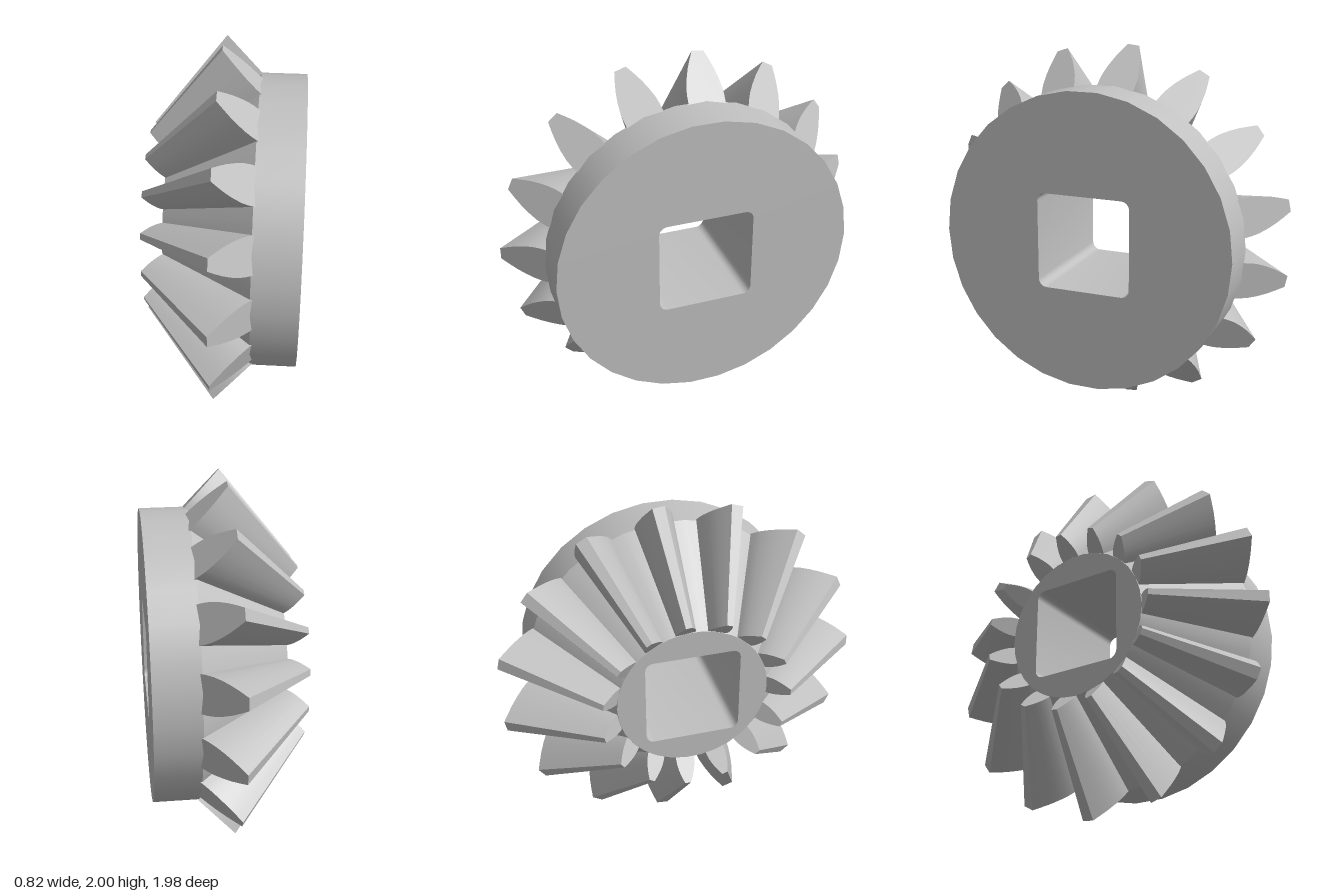
import * as THREE from 'three';
import { toCreasedNormals } from 'three/addons/utils/BufferGeometryUtils.js';

const TEETH = 15, SEGMENTS = 30;
const APEX = -0.82;            // common apex of the tooth and root cones on the x axis
const SHRINK = 0.515;          // size of the small end relative to the large end
const ROOT = { x: 0.165, r: 0.805 }, TIP = { x: -0.03, r: 1.0 };
const BACK = 0.41;

const scaleX = (x) => APEX + (x - APEX) * SHRINK;

// Skin between two matching rings, with optional flat ends
function loft(ringA, ringB, capped) {
  const n = ringA.length, index = [];
  for (let i = 0; i < n; i++) {
    const j = (i + 1) % n;
    index.push(i, n + i, n + j, i, n + j, j);
    if (capped && i > 0 && i < n - 1) index.push(0, i, i + 1, n, n + i + 1, n + i);
  }
  const geo = new THREE.BufferGeometry().setFromPoints([...ringA, ...ringB]);
  geo.setIndex(index);
  return toCreasedNormals(geo, 0.6);
}

// One tapered tooth pointing along +z
function toothGeometry() {
  const profile = [[-0.08, 0.101], [0.1, 0.101], [0.25, 0.098], [0.45, 0.087],
    [0.65, 0.071], [0.83, 0.052], [1, 0.032]];
  const at = ([t, w], side) => new THREE.Vector3(
    THREE.MathUtils.lerp(ROOT.x, TIP.x, t), w * side, THREE.MathUtils.lerp(ROOT.r, TIP.r, t));
  const large = [...profile.map((p) => at(p, 1)), ...profile.slice().reverse().map((p) => at(p, -1))];
  const small = large.map((p) => new THREE.Vector3(scaleX(p.x), p.y * SHRINK, p.z * SHRINK));
  return loft(large, small, true);
}

// Rounded square outline of the bore
function borePoints(half = 0.259, radius = 0.045) {
  const pts = [];
  for (let c = 0; c < 4; c++) {
    const mid = Math.PI / 4 + c * Math.PI / 2;
    const cx = Math.sign(Math.cos(mid)) * (half - radius), cy = Math.sign(Math.sin(mid)) * (half - radius);
    for (let k = 0; k <= 6; k++) {
      const a = (c + k / 6) * Math.PI / 2;
      pts.push(new THREE.Vector2(cx + radius * Math.cos(a), cy + radius * Math.sin(a)));
    }
  }
  return pts;
}

// Flat disc with the bore cut out, facing +z
function ringFace(radius) {
  const rim = Array.from({ length: SEGMENTS }, (_, i) => {
    const a = i / SEGMENTS * Math.PI * 2;
    return new THREE.Vector2(radius * Math.cos(a), radius * Math.sin(a));
  });
  const shape = new THREE.Shape(rim);
  shape.holes.push(new THREE.Path(borePoints()));
  return new THREE.ShapeGeometry(shape);
}

// Band of revolution about the x axis
function band(x0, r0, x1, r1) {
  const pts = [new THREE.Vector2(r0, x0), new THREE.Vector2(r1, x1)];
  return new THREE.LatheGeometry(pts, SEGMENTS).rotateZ(-Math.PI / 2);
}

export function createModel() {
  const model = new THREE.Group();
  model.name = 'bevelGear';
  const steel = new THREE.MeshStandardMaterial({ color: 0xc0c0c0 });
  steel.name = 'greySteel';
  const gear = new THREE.Group();
  gear.name = 'gear';
  gear.position.set(0, 1, -0.004);
  model.add(gear);

  const add = (name, geometry) => {
    const mesh = new THREE.Mesh(geometry, steel);
    mesh.name = name;
    gear.add(mesh);
    return mesh;
  };

  // Body
  const frontX = scaleX(ROOT.x), frontR = ROOT.r * SHRINK;
  add('hubRim', band(ROOT.x, ROOT.r, BACK, ROOT.r));
  add('rootCone', band(frontX, frontR, ROOT.x, ROOT.r));
  add('hubFace', ringFace(ROOT.r).rotateY(Math.PI / 2).translate(BACK, 0, 0));
  add('smallEndFace', ringFace(frontR).rotateY(-Math.PI / 2).translate(frontX, 0, 0));

  // Square bore, walls facing inward
  const boreRing = (x) => borePoints().map((p) => new THREE.Vector3(x, p.y, p.x));
  add('squareBore', loft(boreRing(BACK), boreRing(frontX), false));

  // Teeth
  const tooth = toothGeometry();
  for (let i = 0; i < TEETH; i++) {
    add('tooth' + (i + 1), tooth).rotation.x = i / TEETH * Math.PI * 2;
  }
  return model;
}
